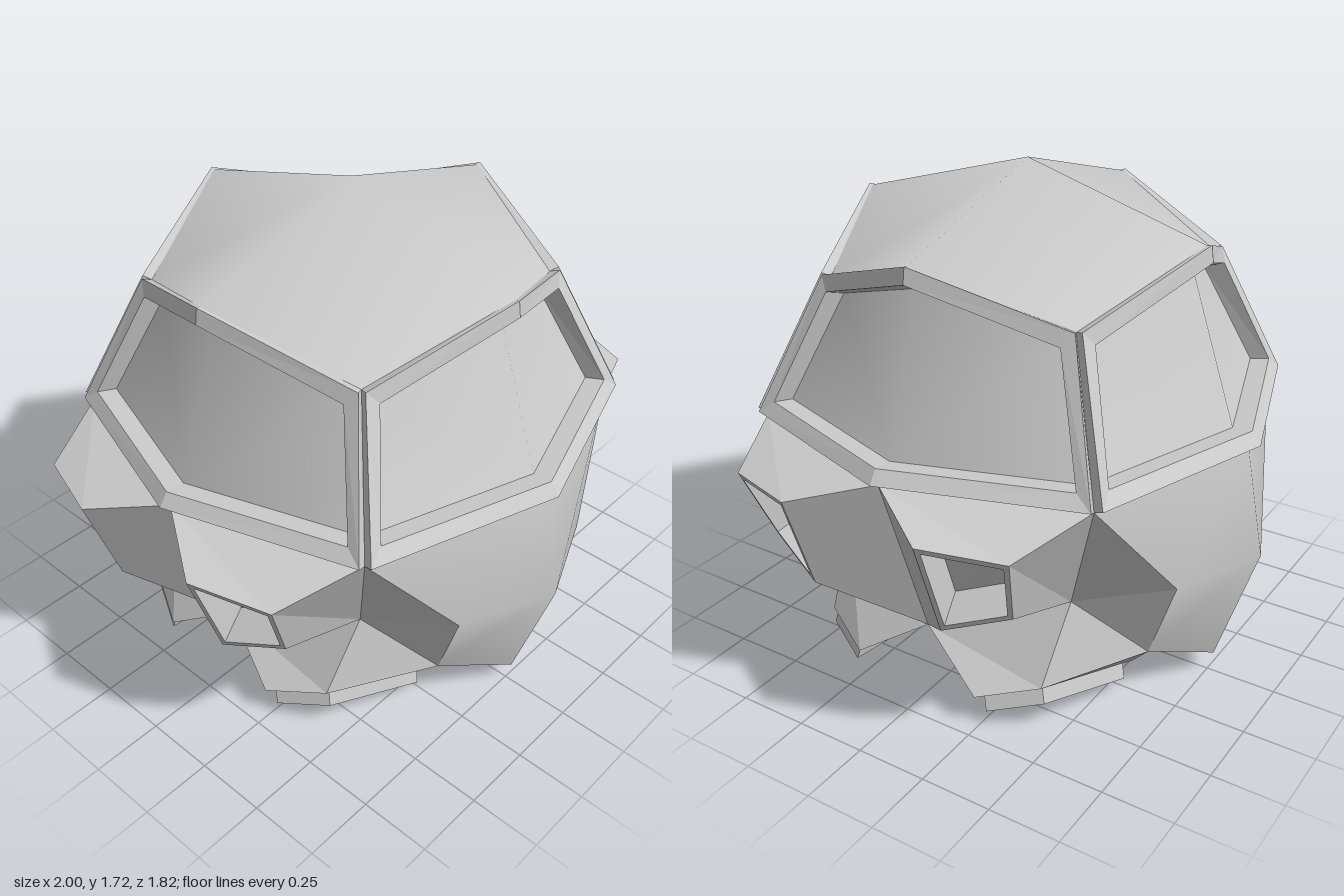
import * as THREE from 'three';
import { mergeVertices } from 'three/addons/utils/BufferGeometryUtils.js';

const material = new THREE.MeshStandardMaterial({ color: 0xcccccc });

// Mesh from polygons (corners counter-clockwise seen from outside)
function facets(name, polygons, smooth = false) {
  const positions = [];
  for (const p of polygons) {
    for (let i = 1; i < p.length - 1; i++) positions.push(...p[0], ...p[i], ...p[i + 1]);
  }
  let geometry = new THREE.BufferGeometry();
  geometry.setAttribute('position', new THREE.Float32BufferAttribute(positions, 3));
  if (smooth) geometry = mergeVertices(geometry);
  geometry.computeVertexNormals();
  const mesh = new THREE.Mesh(geometry, material);
  mesh.name = name;
  return mesh;
}

// Copies polygons with flipped x / z, keeping the faces outward
const mirror = (polygons, sx, sz) => polygons.map((p) => {
  const q = p.map(([x, y, z]) => [x * sx, y, z * sz]);
  return sx * sz < 0 ? q.reverse() : q;
});
const QUADRANTS = [[1, 1], [-1, 1], [1, -1], [-1, -1]];
const fourWay = (polygons) => QUADRANTS.flatMap(([sx, sz]) => mirror(polygons, sx, sz));

// Band of quads between two loops
const band = (a, b) => a.map((p, i) => {
  const j = (i + 1) % a.length;
  return [p, a[j], b[j], b[i]];
});

// Nested steps on a loop: each step is [scale, offset along the normal]; the last is capped
function steppedPanel(loop, steps) {
  const v = loop.map((p) => new THREE.Vector3(...p));
  const centre = v.reduce((s, p) => s.add(p), new THREE.Vector3()).divideScalar(v.length);
  const normal = v[2].clone().sub(v[0]).cross(v[3].clone().sub(v[1])).normalize();
  const loops = [loop, ...steps.map(([scale, offset]) => v.map((p) =>
    p.clone().sub(centre).multiplyScalar(scale).add(centre).addScaledVector(normal, offset).toArray()))];
  const polygons = [];
  for (let i = 0; i < loops.length - 1; i++) polygons.push(...band(loops[i], loops[i + 1]));
  polygons.push(loops[loops.length - 1]);
  return polygons;
}

// Full window loop from its right half: bottom middle, bottom corner, top corner, top middle
const windowLoop = (half) => [...half, ...[half[2], half[1]].map(([x, y, z]) => [-x, y, z])];

function createWindow(name) {
  const back = windowLoop([[0, 0.91, 0.84], [0.635, 0.91, 0.635], [0.465, 1.38, 0.465], [0, 1.55, 0.65]]);
  const outer = windowLoop([[0, 0.925, 0.88], [0.645, 0.925, 0.67], [0.48, 1.39, 0.495], [0, 1.555, 0.67]]);
  const inner = windowLoop([[0, 0.97, 0.848], [0.585, 0.97, 0.655], [0.445, 1.345, 0.52], [0, 1.5, 0.678]]);
  const pane = windowLoop([[0, 0.965, 0.78], [0.558, 0.965, 0.595], [0.425, 1.325, 0.455], [0, 1.47, 0.61]]);
  const group = new THREE.Group();
  group.name = name;
  group.add(
    facets('windowFrame', [...band(back, outer), ...band(outer, inner), ...band(inner, pane)]),
    facets('windowPane', [[pane[0], pane[1], pane[2], pane[3]], [pane[0], pane[3], pane[4], pane[5]]], true),
  );
  return group;
}

export function createModel() {
  const model = new THREE.Group();

  // Octagonal roof, alternating high and low corners
  const rim = Array.from({ length: 8 }, (_, i) => {
    const t = (i * Math.PI) / 4;
    const [r, y] = i % 2 ? [0.658, 1.38] : [0.66, 1.55];
    return [r * Math.sin(t), y, r * Math.cos(t)];
  });
  model.add(facets('roof', rim.map((p, i) => [[0, 1.74, 0], p, rim[(i + 1) % 8]]), true));

  // Four framed windows
  ['frontWindow', 'leftWindow', 'backWindow', 'rightWindow'].forEach((name, i) => {
    const w = createWindow(name);
    w.rotation.y = (i * Math.PI) / 2;
    model.add(w);
  });

  // Key points of one quarter of the hull
  const corner = [0.635, 0.91, 0.635], waist = [0.46, 0.445, 0.46];
  const bibTop = [0, 0.91, 0.84], bibMid = [0, 0.53, 0.912], bibTip = [0, 0.09, 0.77];
  const bibSide = [0.33, 0.53, 0.77], bibLow = [0.27, 0.21, 0.65];
  const sideTop = [0.84, 0.91, 0], sideLow = [0.62, 0.28, 0], belly = [0, 0.075, 0];
  const pod = [[1, 0.85, 0.25], [0.91, 0.835, 0.52], [0.81, 0.58, 0.467], [0.88, 0.5, 0.25]];
  const foot = [[0.24, 0.065, 0.24], [0.7, 0.13, 0.24], [0.6, 0.18, 0.435], [0.24, 0.13, 0.58]];

  // Rounded front and back shields
  const shield = [[bibMid, bibSide, corner, bibTop], [bibTip, bibLow, bibSide, bibMid]];
  [['frontShield', 1], ['backShield', -1]].forEach(([name, sz]) => {
    model.add(facets(name, [...mirror(shield, 1, sz), ...mirror(shield, -1, sz)], true));
  });
  model.add(facets('shieldEdges', fourWay([[corner, bibSide, waist], [bibSide, bibLow, waist]])));

  // Side pod housings
  model.add(facets('podHousings', fourWay([
    [corner, pod[1], pod[0], sideTop],
    [corner, waist, pod[2], pod[1]],
    [waist, sideLow, pod[3], pod[2]],
    [sideTop, pod[0], pod[3], sideLow],
  ])));

  // Legs and underside
  model.add(facets('lowerHull', fourWay([
    [waist, foot[2], foot[1], sideLow],
    [waist, bibLow, foot[3], foot[2]],
    [sideLow, foot[1], foot[0], belly],
    [bibTip, belly, foot[0], foot[3], bibLow],
  ])));

  // Recessed pod openings and hollow feet
  const opening = steppedPanel(pod, [[0.87, 0], [0.8, -0.12]]);
  const shoe = steppedPanel(foot, [[0.87, 0], [0.87, 0.06], [0.77, 0.06], [0.7, 0.01]]);
  QUADRANTS.forEach(([sx, sz]) => {
    const place = (sz > 0 ? 'front' : 'back') + (sx > 0 ? 'Left' : 'Right');
    model.add(facets(place + 'PodOpening', mirror(opening, sx, sz)));
    model.add(facets(place + 'Foot', mirror(shoe, sx, sz)));
  });

  return model;
}
